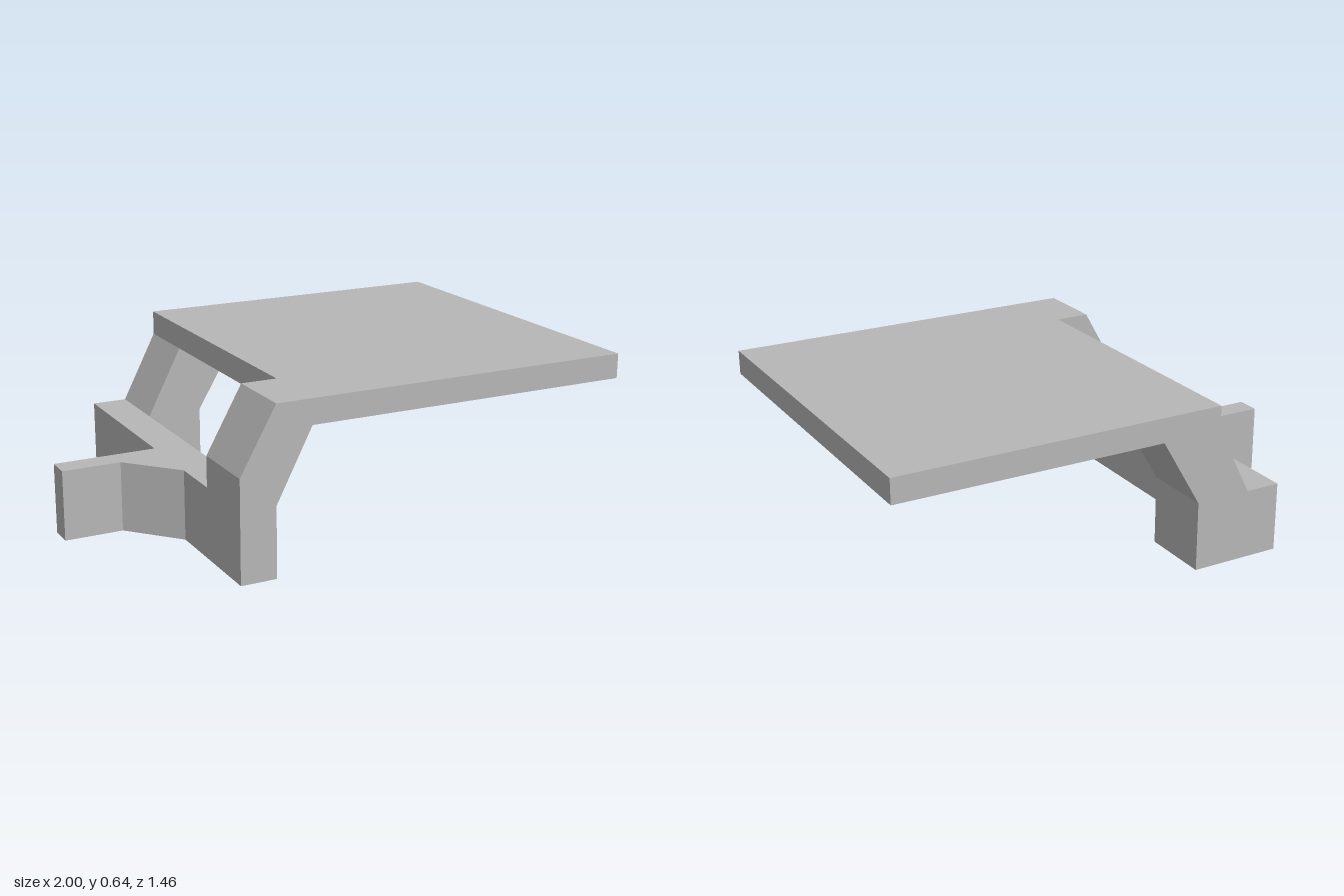
import * as THREE from 'three';

export function createModel() {
  const group = new THREE.Group();
  group.name = 'bracketShelf';
  const grey = new THREE.MeshStandardMaterial({ color: 0xb6b6b6 });
  grey.name = 'plain grey';

  const W = 0.73, INNER = 0.45;      // half depth, inner face of the legs
  const LOW = 0.275, UNDER = 0.548, TOP = 0.645; // beam top, plate underside, plate top
  const OUT = -0.595, MID = -0.455, EDGE = -0.315;

  const extrude = (points, depth) => new THREE.ExtrudeGeometry(
    new THREE.Shape(points.map(([a, b]) => new THREE.Vector2(a, b))),
    { depth, bevelEnabled: false });
  const add = (name, geometry) => {
    const mesh = new THREE.Mesh(geometry, grey);
    mesh.name = name;
    group.add(mesh);
  };

  // Flat top plate
  const plate = new THREE.BoxGeometry(1 - EDGE, TOP - UNDER, 2 * W);
  plate.translate((1 + EDGE) / 2, (TOP + UNDER) / 2, 0);
  add('topPlate', plate);

  // Front leg, bending outwards up to the plate
  const front = extrude([
    [OUT, 0], [MID, 0], [MID, LOW], [EDGE, UNDER], [EDGE, TOP], [MID, TOP], [OUT, 0.395],
  ], W - INNER);
  front.translate(0, 0, INNER);
  add('frontLeg', front);

  // Back leg, with a wider foot and an open step
  const back = extrude([
    [OUT, 0], [-0.23, 0], [-0.23, LOW], [-0.07, UNDER], [EDGE, UNDER], [MID, LOW], [OUT, LOW],
  ], W - INNER);
  back.translate(0, 0, -W);
  add('backLeg', back);

  // Cross beam with its arm and gusset, drawn as a floor plan (x, -z)
  const base = extrude([
    [MID, -INNER], [MID, INNER], [OUT, INNER], [OUT, 0.05], [-1, 0.05],
    [-1, -0.045], [-0.77, -0.045], [OUT, -0.24], [OUT, -INNER],
  ], LOW);
  base.rotateX(-Math.PI / 2);
  add('crossBeamAndArm', base);

  return group;
}
